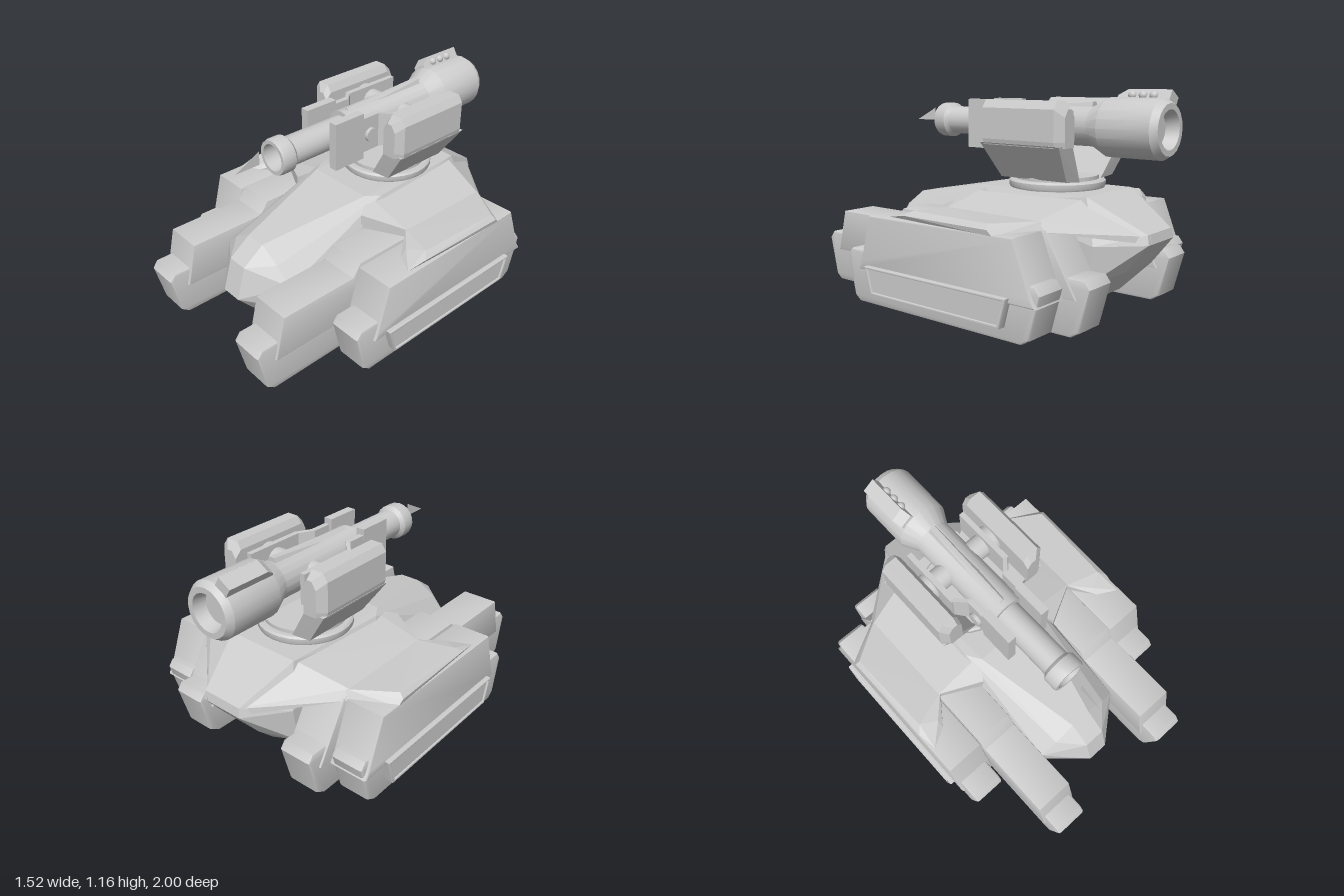
import * as THREE from 'three';
import { toCreasedNormals } from 'three/addons/utils/BufferGeometryUtils.js';
import { ConvexGeometry } from 'three/addons/geometries/ConvexGeometry.js';

const material = new THREE.MeshStandardMaterial({ color: 0xcccccc });
const thin = new THREE.MeshStandardMaterial({ color: 0xcccccc, side: THREE.DoubleSide });

export function createModel() {
  const model = new THREE.Group();

  function add(name, geometry, x = 0, y = 0, z = 0, mat = material) {
    const mesh = new THREE.Mesh(geometry, mat);
    mesh.name = name;
    mesh.position.set(x, y, z);
    model.add(mesh);
    return mesh;
  }
  const v2 = (pts) => pts.map(([a, b]) => new THREE.Vector2(a, b));

  // Extrudes a [z, y] outline across x0..x1, with bevelled rims and an optional hole
  function prism(outline, x0, x1, bevel = 0, hole = null) {
    const shape = new THREE.Shape(v2(outline));
    if (hole) shape.holes.push(new THREE.Path(v2(hole)));
    const geo = new THREE.ExtrudeGeometry(shape, {
      depth: x1 - x0 - 2 * bevel, bevelEnabled: bevel > 0,
      bevelThickness: bevel, bevelSize: bevel, bevelOffset: -bevel, bevelSegments: 2,
    });
    geo.rotateY(-Math.PI / 2).translate(x1 - bevel, 0, 0);
    return toCreasedNormals(geo, 0.6);
  }
  // Convex solid; mirrored = true adds the points reflected in x
  function solid(pts, mirrored = false) {
    const all = mirrored ? pts.concat(pts.map(([x, y, z]) => [-x, y, z])) : pts;
    return new ConvexGeometry(all.map((p) => new THREE.Vector3(...p)));
  }
  const flip = (pts, s) => pts.map(([x, y, z]) => [s * x, y, z]);
  // Prism on the +x side (s = 1) or its mirror image (s = -1)
  const sidePrism = (name, outline, a, b, s, bevel, hole) =>
    add(name, prism(outline, s > 0 ? a : -b, s > 0 ? b : -a, bevel, hole));

  // Rounded trapezoid outline of a track, shrunk by d
  const trackOutline = (back, front, d) => [
    [back + 0.11 + d, d], [front - 0.09 - d, d], [front - 0.05 - d, 0.03 + d],
    [front - d, 0.25 - d * 0.6], [front - 0.03 - d, 0.29 - d],
    [back + 0.03 + d, 0.29 - d], [back + d, 0.25 - d * 0.6], [back + 0.06 + d, 0.03 + d],
  ];

  // Hull with faceted nose
  add('hull', solid([
    [0.07, 0.105, 0.68], [0.275, 0.2, 0.6], [0.06, 0.25, 0.81], [0.275, 0.36, 0.62],
    [0.06, 0.43, 0.755], [0.18, 0.45, 0.63], [0.06, 0.52, 0.63],
    [0.2, 0.63, 0.03], [0.25, 0.625, -0.05], [0.285, 0.56, -0.08], [0.28, 0.36, -0.1],
    [0.22, 0.63, -0.67], [0.28, 0.4, -0.75], [0.28, 0.2, -0.72],
    [0.07, 0.105, -0.7], [0.13, 0.26, -0.85], [0.13, 0.41, -0.97], [0.12, 0.46, -0.96],
  ], true));

  for (const s of [1, -1]) {
    // Tracks: belt around a recessed core
    for (const [label, x0, x1, back, front] of [
      ['inner', 0.295, 0.49, -0.87, 1.0], ['outer', 0.525, 0.715, -0.75, 0.56]]) {
      sidePrism(label + 'TrackBelt', trackOutline(back, front, 0), x0, x1, s, 0.015,
        trackOutline(back, front, 0.035));
      sidePrism(label + 'TrackCore', trackOutline(back, front, 0.02), x0 + 0.015, x1 - 0.015, s, 0);
    }
    // Fenders over the tracks
    sidePrism('innerFender', [
      [-0.8, 0.19], [0.9, 0.19], [0.84, 0.43], [0.39, 0.43], [0.34, 0.5], [-0.62, 0.5],
    ], 0.28, 0.502, s, 0.006);
    sidePrism('outerFender', [
      [-0.74, 0.19], [0.45, 0.19], [0.43, 0.24], [0.36, 0.49], [-0.61, 0.5], [-0.71, 0.24],
    ], 0.506, 0.732, s, 0.01);
    // Side skirt box with a raised rim
    const skirt = [[-0.55, 0.07], [0.33, 0.07], [0.375, 0.22], [-0.59, 0.22]];
    sidePrism('skirtRim', skirt, 0.7, 0.76, s, 0.006,
      [[-0.535, 0.085], [0.32, 0.085], [0.355, 0.207], [-0.57, 0.207]]);
    sidePrism('skirtPanel', skirt, 0.7, 0.75, s, 0);

    // Wing armour plates
    add('innerWing', solid(flip([
      [0.2, 0.62, 0], [0.2, 0.62, -0.65], [0.27, 0.58, 0.12], [0.27, 0.48, 0.12],
      [0.5, 0.545, 0], [0.5, 0.49, 0], [0.5, 0.54, -0.58], [0.5, 0.49, -0.62],
      [0.33, 0.5, -0.73], [0.33, 0.46, -0.74], [0.1, 0.45, -0.965], [0.1, 0.41, -0.97],
    ], s)));
    add('outerWing', solid(flip([
      [0.49, 0.545, 0], [0.49, 0.49, 0], [0.49, 0.54, -0.59], [0.49, 0.49, -0.62],
      [0.6, 0.5, 0.15], [0.6, 0.53, 0.11], [0.71, 0.5, 0.21], [0.69, 0.545, 0.06],
      [0.71, 0.545, -0.45], [0.735, 0.52, -0.46], [0.73, 0.49, -0.49], [0.725, 0.52, 0.1],
    ], s)));

    // Turret arm and shoulder pod
    add('turretArm', solid(flip([
      [0.1, 0.68, -0.13], [0.1, 0.68, -0.55], [0.22, 0.69, -0.13], [0.22, 0.69, -0.55],
      [0.23, 0.88, -0.09], [0.23, 0.88, -0.59], [0.35, 0.88, -0.09], [0.35, 0.88, -0.59],
    ], s)));
    const pod = [];
    for (const [z, inset] of [[-0.075, 0.04], [-0.11, 0], [-0.56, 0], [-0.6, 0.04]])
      pod.push([0.23, 0.87, z], [0.345 - inset, 0.87, z], [0.352 - inset, 0.9, z],
        [0.352 - inset, 1.06 - inset, z], [0.325 - inset, 1.1 - inset, z],
        [0.255, 1.1 - inset, z], [0.23, 1.06 - inset, z]);
    add('shoulderPod', solid(flip(pod, s)));

    // Cradle plates, kinked inwards toward the muzzle
    add('rearCradlePlate', new THREE.BoxGeometry(0.03, 0.17, 0.36), s * 0.182, 0.965, -0.37);
    add('cradleLink', solid(flip([
      [0.167, 0.88, -0.2], [0.197, 0.88, -0.2], [0.167, 1.05, -0.2], [0.197, 1.05, -0.2],
      [0.105, 0.86, -0.13], [0.135, 0.86, -0.13], [0.105, 1.06, -0.13], [0.135, 1.06, -0.13],
    ], s)));
    add('midCradlePlate', new THREE.BoxGeometry(0.03, 0.2, 0.13), s * 0.12, 0.96, -0.07);
    add('frontCradlePlate', new THREE.BoxGeometry(0.05, 0.27, 0.2), s * 0.112, 0.958, 0.08);

    // Pivots
    const axle = (r, len) => new THREE.CylinderGeometry(r, r, len, 20).rotateZ(Math.PI / 2);
    add('gunPivot', axle(0.065, 0.17), s * 0.16, 0.96, -0.37);
    add('pivotCollar', axle(0.08, 0.035), s * 0.215, 0.96, -0.37);
    add('cradleBolt', axle(0.04, 0.03), s * 0.14, 0.955, -0.07);
  }

  // Turret ring
  const ring = new THREE.LatheGeometry(v2([
    [0.23, 0.61], [0.23, 0.635], [0.255, 0.635], [0.26, 0.645], [0.26, 0.67],
    [0.25, 0.68], [0.225, 0.68], [0.225, 0.7], [0, 0.7],
  ]), 32);
  add('turretRing', toCreasedNormals(ring, 0.5), 0, 0, -0.34);

  // Cannon from recessed breech to hollow muzzle, as [radius, z]
  const cannon = new THREE.LatheGeometry(v2([
    [0, -0.93], [0.085, -0.93], [0.1, -1], [0.13, -1], [0.153, -0.965], [0.153, -0.67],
    [0.105, -0.58], [0.105, 0.02], [0.08, 0.02], [0.08, 0.39], [0.1, 0.41],
    [0.1, 0.475], [0.095, 0.49], [0.075, 0.49], [0.07, 0.4], [0, 0.4],
  ]), 20).rotateX(Math.PI / 2);
  add('cannon', toCreasedNormals(cannon, 0.5), 0, 0.963, 0);
  add('cannonRidge', solid([
    [0.03, 1.05, -0.57], [0.015, 1.09, -0.57], [0.03, 1.05, -0.02], [0.005, 1.075, -0.02],
  ], true));

  // Sight box with three lamps on the breech
  add('sight', solid([
    [-0.04, -0.035, 0.15], [0.04, -0.035, 0.15], [-0.04, 0, 0.14], [0.04, 0, 0.14],
    [-0.04, 0.035, 0.09], [0.04, 0.035, 0.09], [-0.04, 0.035, -0.15], [0.04, 0.035, -0.15],
    [-0.04, -0.035, -0.15], [0.04, -0.035, -0.15],
  ]), -0.085, 1.105, -0.82).rotation.z = 0.55;
  for (const z of [-0.88, -0.82, -0.76])
    add('sightLamp', new THREE.SphereGeometry(0.023, 12, 8), -0.052, 1.125, z);

  // Small flat fin ahead of the muzzle
  const fin = new THREE.ShapeGeometry(new THREE.Shape(v2([[0.57, 0.955], [0.72, 0.955], [0.57, 1.03]])));
  add('muzzleFin', fin.rotateY(-Math.PI / 2), 0, 0, 0, thin);

  return model;
}
